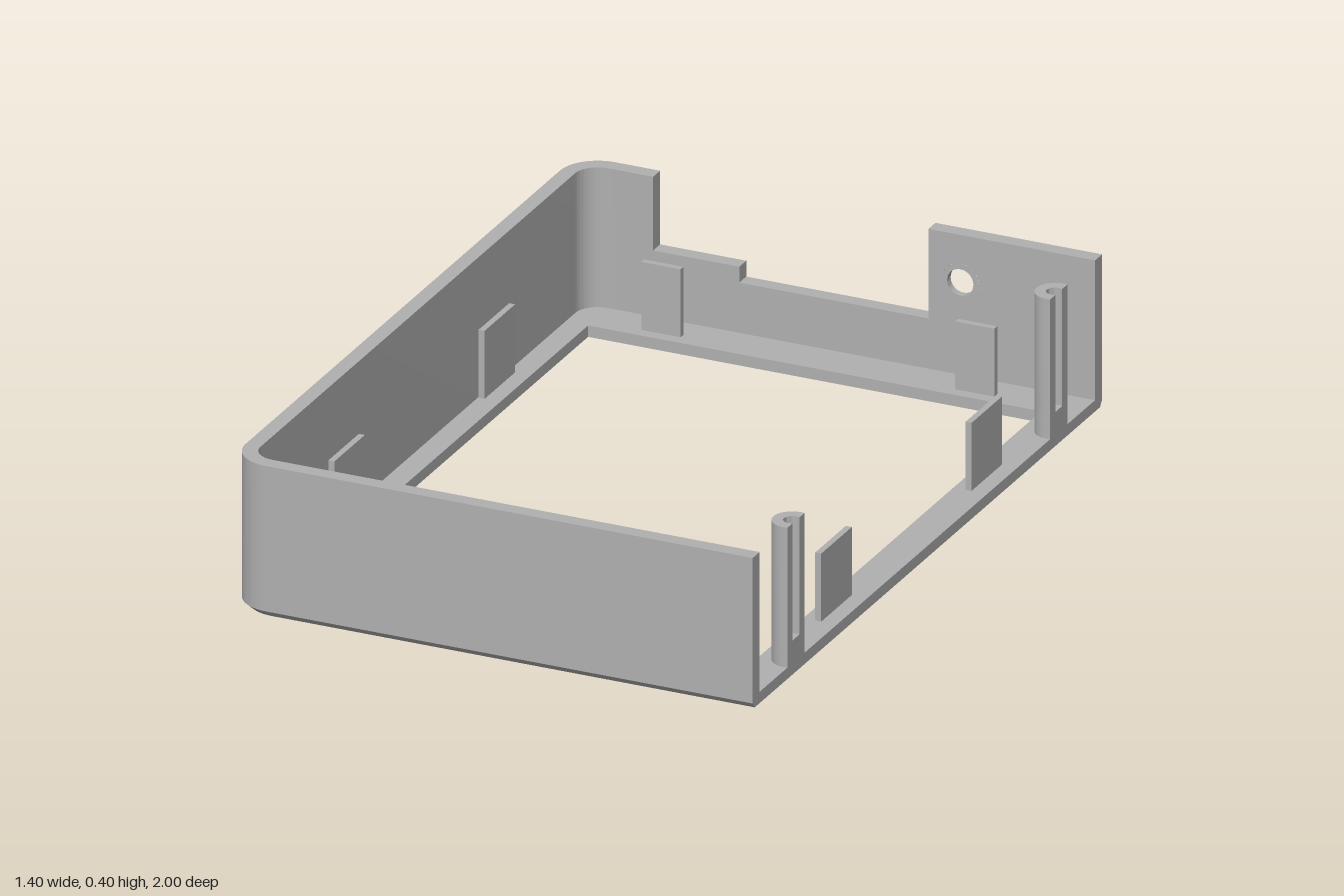
import * as THREE from 'three';
import { toCreasedNormals } from 'three/addons/utils/BufferGeometryUtils.js';

const PI = Math.PI;
const WALL = 0.04, FLOOR = 0.03, TOP = 0.4, CHAMFER = 0.012;

// Extrude a plan shape (x, -z) upwards from y0 to y1
function extrudeUp(shape, y0, y1, steps = 1) {
  const g = new THREE.ExtrudeGeometry(shape, { depth: y1 - y0, steps, bevelEnabled: false, curveSegments: 16 });
  g.rotateX(-PI / 2);
  g.translate(0, y0, 0);
  return g;
}

// Outer edge: square on the open right side, rounded on the left
function outerEdge(shape) {
  shape.moveTo(0.7, -1);
  shape.lineTo(-0.6, -1);
  shape.absarc(-0.6, -0.9, 0.1, -PI / 2, -PI, true);
  shape.lineTo(-0.7, 0.9);
  shape.absarc(-0.6, 0.9, 0.1, PI, PI / 2, true);
  return shape;
}

export function createModel() {
  const group = new THREE.Group();
  const grey = new THREE.MeshStandardMaterial({ color: 0xb0b0b0 });
  grey.name = 'grey plastic';

  const add = (name, geometry, parent = group) => {
    const mesh = new THREE.Mesh(toCreasedNormals(geometry, 0.5), grey);
    mesh.name = name;
    parent.add(mesh);
    return mesh;
  };

  // Floor frame with a rectangular opening and a chamfered lower edge
  const floor = outerEdge(new THREE.Shape());
  floor.lineTo(0.7, 1);
  const opening = new THREE.Path();
  opening.moveTo(-0.6, -0.83);
  opening.lineTo(0.61, -0.83);
  opening.lineTo(0.61, 0.845);
  opening.lineTo(-0.6, 0.845);
  floor.holes.push(opening);
  const floorGeo = extrudeUp(floor, 0, FLOOR, 2);
  const p = floorGeo.attributes.position;
  for (let i = 0; i < p.count; i++) {
    const x = p.getX(i), z = p.getZ(i);
    if (p.getY(i) < 0.001 && (x < -0.605 || Math.abs(z) > 0.88)) {
      p.setX(i, 0.7 + (x - 0.7) * (1.4 - CHAMFER) / 1.4);
      p.setZ(i, z * (1 - CHAMFER));
    }
  }
  add('floorFrame', floorGeo);

  // Full-height wall: front, left side and the left end of the back
  const wall = outerEdge(new THREE.Shape());
  wall.lineTo(-0.48, 1);
  wall.lineTo(-0.48, 1 - WALL);
  wall.lineTo(-0.6, 1 - WALL);
  wall.absarc(-0.6, 0.9, 0.1 - WALL, PI / 2, PI, false);
  wall.lineTo(-0.7 + WALL, -0.9);
  wall.absarc(-0.6, -0.9, 0.1 - WALL, PI, 1.5 * PI, false);
  wall.lineTo(0.7, -1 + WALL);
  add('frontAndSideWall', extrudeUp(wall, FLOOR, TOP));

  // Stepped back wall with a screw hole
  const HX = 0.34, HY = 0.274, HR = 0.05;
  const back = new THREE.Shape([
    [-0.48, FLOOR], [0.7, FLOOR], [0.7, TOP], [0.255, TOP],
    [0.255, 0.163], [-0.25, 0.163], [-0.25, 0.205], [-0.48, 0.205],
  ].map(([x, y]) => new THREE.Vector2(x, y)));
  const hole = new THREE.Path();
  hole.absarc(HX, HY, HR, 0, 2 * PI, true);
  back.holes.push(hole);
  const backGeo = new THREE.ExtrudeGeometry(back, { depth: WALL, bevelEnabled: false, curveSegments: 32 });
  backGeo.translate(0, 0, -1);
  add('backWall', backGeo);

  // Countersunk lining of the screw hole
  const sink = new THREE.LatheGeometry([
    [HR, -1 + WALL], [0.035, -1 + WALL], [0.035, -0.98], [HR, -1],
  ].map(([r, z]) => new THREE.Vector2(r, z)), 32);
  sink.rotateX(PI / 2);
  sink.translate(HX, HY, 0);
  add('screwHoleCountersink', sink);

  // Upright retaining tabs around the opening
  const tabs = new THREE.Group();
  tabs.name = 'retainingTabs';
  group.add(tabs);
  const TAB_H = 0.18;
  for (const s of [-1, 1]) {
    for (const x of [-0.42, 0.418]) {
      add('endTab', new THREE.BoxGeometry(0.105, TAB_H, 0.016), tabs).position.set(x, FLOOR + TAB_H / 2, s * 0.884);
    }
    for (const x of [-0.65, 0.65]) {
      add('sideTab', new THREE.BoxGeometry(0.016, TAB_H, 0.175), tabs).position.set(x, FLOOR + TAB_H / 2, s * 0.43);
    }
  }

  // Screw posts on the open side, cut flat at the edge, with a bore from the top
  const R = 0.05, r = 0.022, PX = 0.69, CUT = 0.01;
  const a = Math.acos(CUT / R), b = Math.acos(CUT / r);
  for (const z of [-0.752, 0.752]) {
    const post = new THREE.Group();
    post.name = 'screwPost';
    post.position.set(PX, 0, z);
    group.add(post);
    const solid = new THREE.Shape();
    solid.absarc(0, 0, R, a, 2 * PI - a, false);
    add('postBase', extrudeUp(solid, FLOOR, 0.09), post);
    const bored = new THREE.Shape();
    bored.absarc(0, 0, R, a, 2 * PI - a, false);
    bored.absarc(0, 0, r, 2 * PI - b, b, true);
    add('postShaft', extrudeUp(bored, 0.09, TOP), post);
  }
  return group;
}
